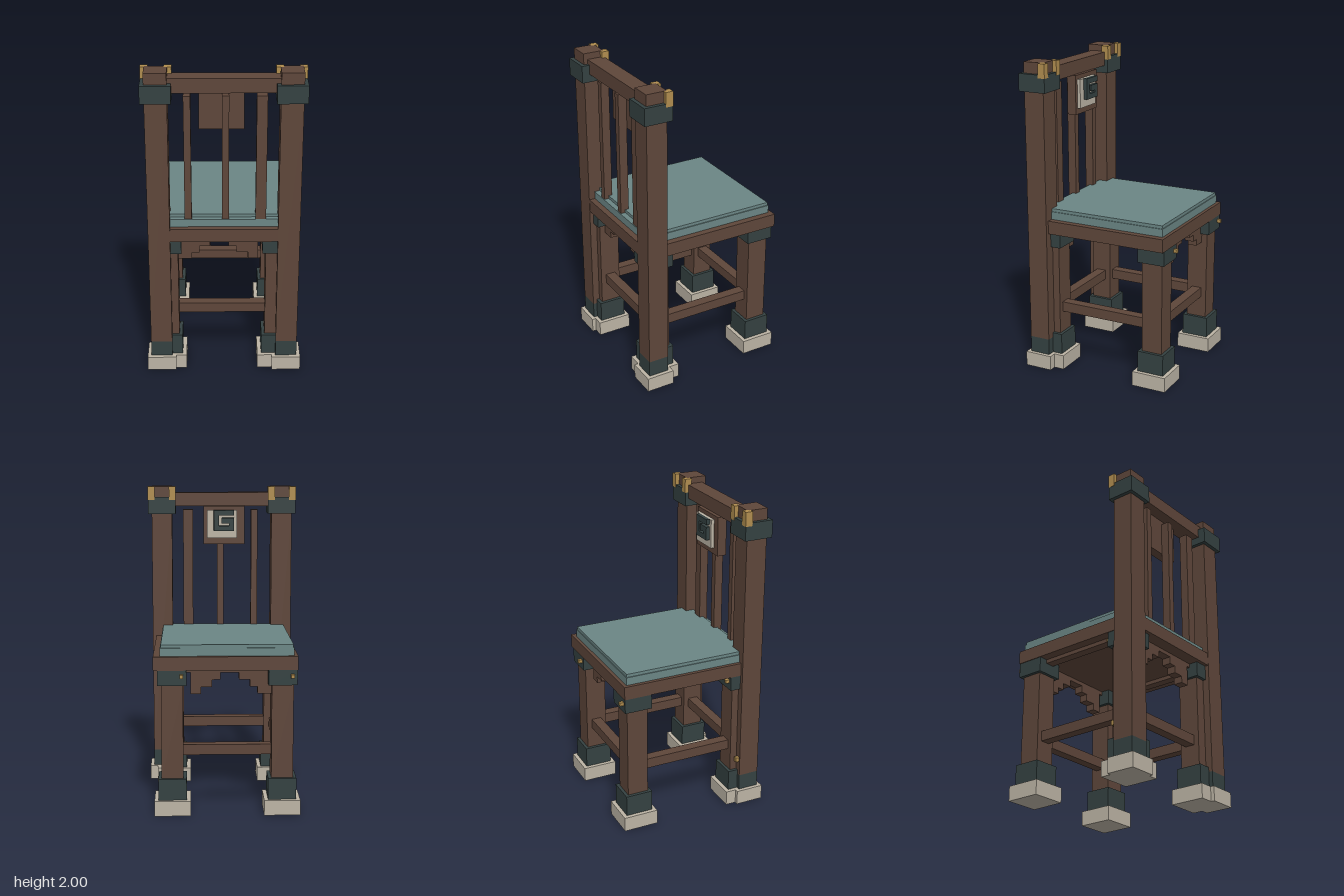
import * as THREE from 'three';

const mat = (name, color) => {
  const m = new THREE.MeshStandardMaterial({ color });
  m.name = name;
  return m;
};

export function createModel() {
  const wood = mat('brown wood', 0x5e463a);
  const teal = mat('teal cushion', 0x6b8685);
  const stone = mat('pale stone', 0xbcb4a5);
  const iron = mat('dark iron', 0x344141);
  const brass = mat('brass', 0xb08d4f);

  const chair = new THREE.Group();
  chair.name = 'chair';

  // Box given by its limits on each axis
  const box = (name, material, x0, x1, y0, y1, z0, z1, parent = chair) => {
    const mesh = new THREE.Mesh(new THREE.BoxGeometry(x1 - x0, y1 - y0, z1 - z0), material);
    mesh.position.set((x0 + x1) / 2, (y0 + y1) / 2, (z0 + z1) / 2);
    mesh.name = name;
    parent.add(mesh);
    return mesh;
  };
  // Square column segment around a centre
  const column = (name, material, cx, cz, half, y0, y1, parent) =>
    box(name, material, cx - half, cx + half, y0, y1, cz - half, cz + half, parent);

  const legX = [-0.3525, 0.3275];
  const legZ = [-0.375, 0.3525];

  // Four legs with feet, ankles, collars and studs
  for (const x of legX) {
    for (const z of legZ) {
      const leg = new THREE.Group();
      leg.name = z < 0 ? 'seatFrontLeg' : 'seatBackLeg';
      column('foot', stone, x, z, 0.1125, 0, 0.095, leg);
      column('ankle', iron, x, z, 0.0875, 0.095, 0.23, leg);
      column('shaft', wood, x, z, 0.0675, 0.23, 0.82, leg);
      column('collar', iron, x, z, 0.0885, 0.82, 0.915, leg);
      box('stud', brass, x - 0.0685, x - 0.0465, 0.868, 0.89, z - 0.113, z - 0.088, leg);
      chair.add(leg);
    }
  }

  // Tall posts with feet, caps and brass prongs
  for (const s of [-1, 1]) {
    const post = new THREE.Group();
    post.name = 'backPost';
    const x = s * 0.3985;
    const z = 0.3985;
    column('foot', stone, x, z, 0.0915, 0, 0.095, post);
    column('ankle', iron, x, z, 0.0675, 0.095, 0.2, post);
    column('shaft', wood, x, z, 0.0675, 0.2, 1.82, post);
    column('cap', iron, x, z, 0.0915, 1.82, 1.93, post);
    column('finial', wood, x, z, 0.0675, 1.93, 2, post);
    box('stud', brass, x - 0.06, x - 0.035, 0.3, 0.33, 0.307, 0.331, post);
    for (const t of [-1, 1]) {
      const px = x + t * 0.07;
      box('prong', brass, px - 0.0225, px + 0.0225, 1.91, 2, 0.305, 0.352, post);
    }
    chair.add(post);
  }

  // Stretchers, aprons and stepped brackets along x
  for (const z of legZ) {
    box('crossStretcher', wood, legX[0], legX[1], 0.37, 0.435, z - 0.0325, z + 0.0325);
    box('crossApron', wood, legX[0], legX[1], 0.89, 0.915, z - 0.03, z + 0.03);
    const steps = [[-0.085, 0.03, 0.845], [-0.152, 0.08, 0.8], [-0.2, 0.15, 0.757]];
    steps.forEach(([left, right, y], i) => {
      const top = 0.89 - i * 0.045;
      box('leftBracketStep', wood, -0.29, left, y, top, z - 0.03, z + 0.03);
      box('rightBracketStep', wood, right, 0.213, y, top, z - 0.03, z + 0.03);
    });
  }
  // Stretchers and aprons along z
  for (const x of legX) {
    box('sideStretcher', wood, x - 0.0325, x + 0.0325, 0.37, 0.435, legZ[0], legZ[1]);
    box('sideApron', wood, x - 0.03, x + 0.03, 0.89, 0.915, legZ[0], legZ[1]);
  }

  // Seat
  box('seatFrame', wood, -0.445, 0.442, 0.915, 1, -0.467, 0.464);
  box('cushionBase', teal, -0.422, 0.4, 1, 1.05, -0.445, 0.425);
  box('cushionTop', teal, -0.416, 0.394, 1.05, 1.07, -0.44, 0.39);

  // Backrest
  box('topRail', wood, -0.335, 0.335, 1.87, 1.96, 0.33, 0.44);
  for (const [x0, x1] of [[-0.24, -0.197], [-0.012, 0.031], [0.193, 0.258]]) {
    box('slat', wood, x0, x1, 1.05, 1.845, 0.365, 0.42);
  }
  box('backPanel', wood, -0.15, 0.122, 1.62, 1.872, 0.305, 0.365);
  box('plaque', stone, -0.1, 0.1, 1.66, 1.845, 0.284, 0.305);

  // Square meander of raised bars
  const bars = [
    [-0.08, 0.055, 1.81, 1.845],
    [0.02, 0.055, 1.71, 1.81],
    [-0.08, 0.02, 1.71, 1.743],
    [-0.08, -0.047, 1.743, 1.795],
    [-0.047, 0.005, 1.757, 1.795],
  ];
  for (const [x0, x1, y0, y1] of bars) box('meanderBar', iron, x0, x1, y0, y1, 0.26, 0.284);

  return chair;
}
